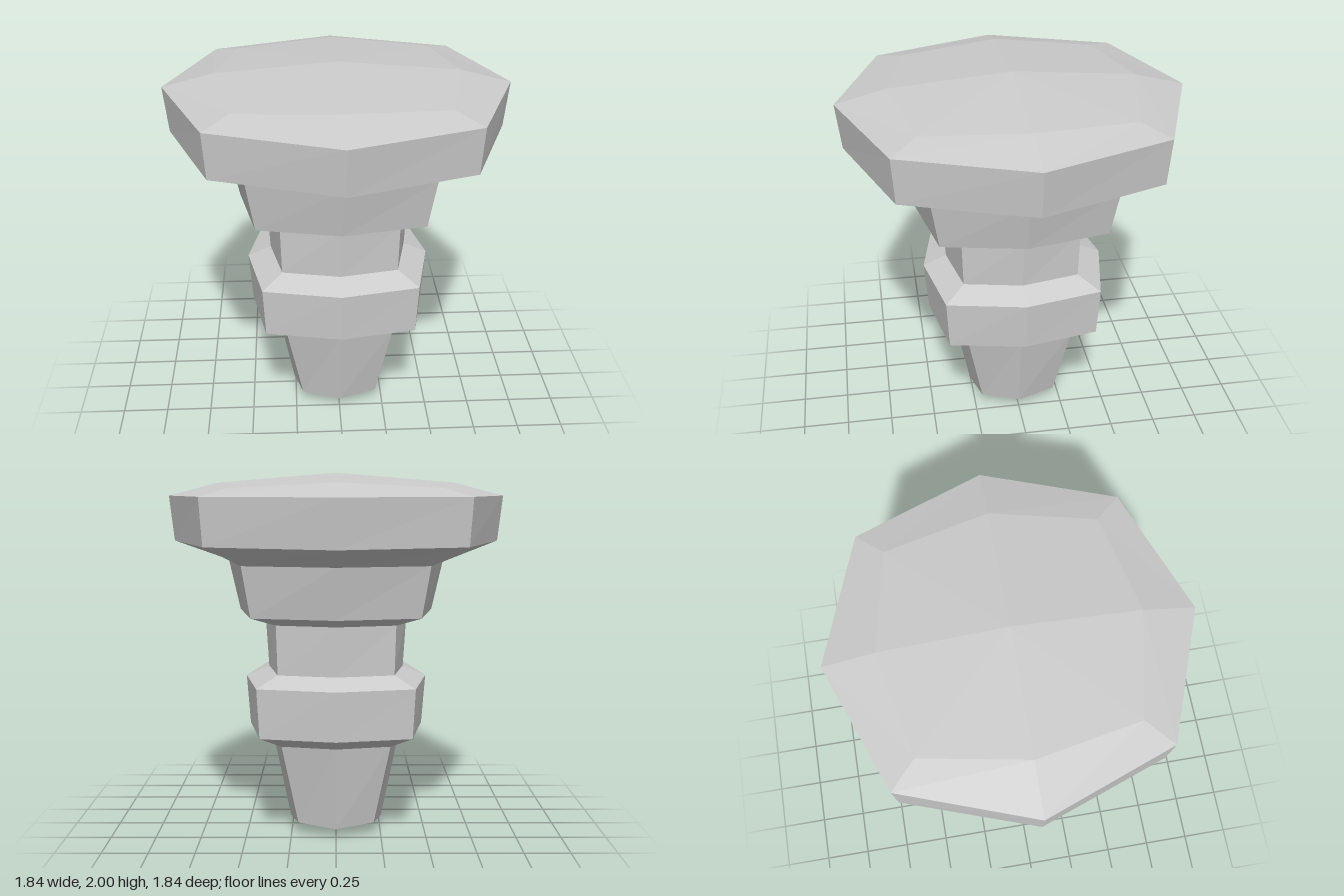
import * as THREE from 'three';

const SIDES = 8;

// Octagonal cross-sections, bottom to top.
// [axis corner radius, axis corner y, diagonal corner x and z offset, diagonal corner y]
const ring = (a, d, y, yDiagonal = y) => [a, y, d, yDiagonal];
const footTop = ring(0.357, 0.296, 0.53);
const collarTop = ring(0.377, 0.313, 0.927);
const neckTop = ring(0.393, 0.32, 1.197);
const shoulderTop = ring(0.595, 0.486, 1.525);

const PARTS = {
  foot: [ring(0, 0, 0), ring(0.26, 0.21, 0.05, 0.073), footTop],
  collar: [footTop, ring(0.485, 0.407, 0.6), ring(0.505, 0.42, 0.872), collarTop],
  neck: [collarTop, neckTop],
  shoulder: [neckTop, ring(0.534, 0.444, 1.25), shoulderTop],
  head: [
    shoulderTop,
    ring(0.893, 0.657, 1.63),
    ring(0.92, 0.672, 1.876),
    ring(0.65, 0.54, 1.946, 1.918),
    ring(0, 0, 2),
  ],
};

// Corner k of a cross-section, counted from the front towards +x
function corner([a, y, d, yDiagonal], k) {
  const diagonal = k % 2 === 1;
  const r = diagonal ? d * Math.SQRT2 : a;
  const t = (k % SIDES) * Math.PI * 2 / SIDES;
  return [r * Math.sin(t), diagonal ? yDiagonal : y, r * Math.cos(t)];
}

// Joins successive cross-sections with flat facets; a zero ring closes to a point
function loft(rings) {
  const positions = [];
  for (let i = 0; i < rings.length - 1; i++) {
    const lower = rings[i], upper = rings[i + 1];
    for (let k = 0; k < SIDES; k++) {
      const a = corner(lower, k), b = corner(lower, k + 1);
      const c = corner(upper, k + 1), d = corner(upper, k);
      if (lower[0] > 0) positions.push(...a, ...b, ...(upper[0] > 0 ? c : d));
      if (upper[0] > 0) positions.push(...a, ...c, ...d);
    }
  }
  const geometry = new THREE.BufferGeometry();
  geometry.setAttribute('position', new THREE.Float32BufferAttribute(positions, 3));
  geometry.computeVertexNormals();
  return geometry;
}

export function createModel() {
  const model = new THREE.Group();
  model.name = 'steppedKnob';
  const material = new THREE.MeshStandardMaterial({ color: 0xcccccc, flatShading: true });
  for (const [name, rings] of Object.entries(PARTS)) {
    const mesh = new THREE.Mesh(loft(rings), material);
    mesh.name = name;
    model.add(mesh);
  }
  return model;
}
